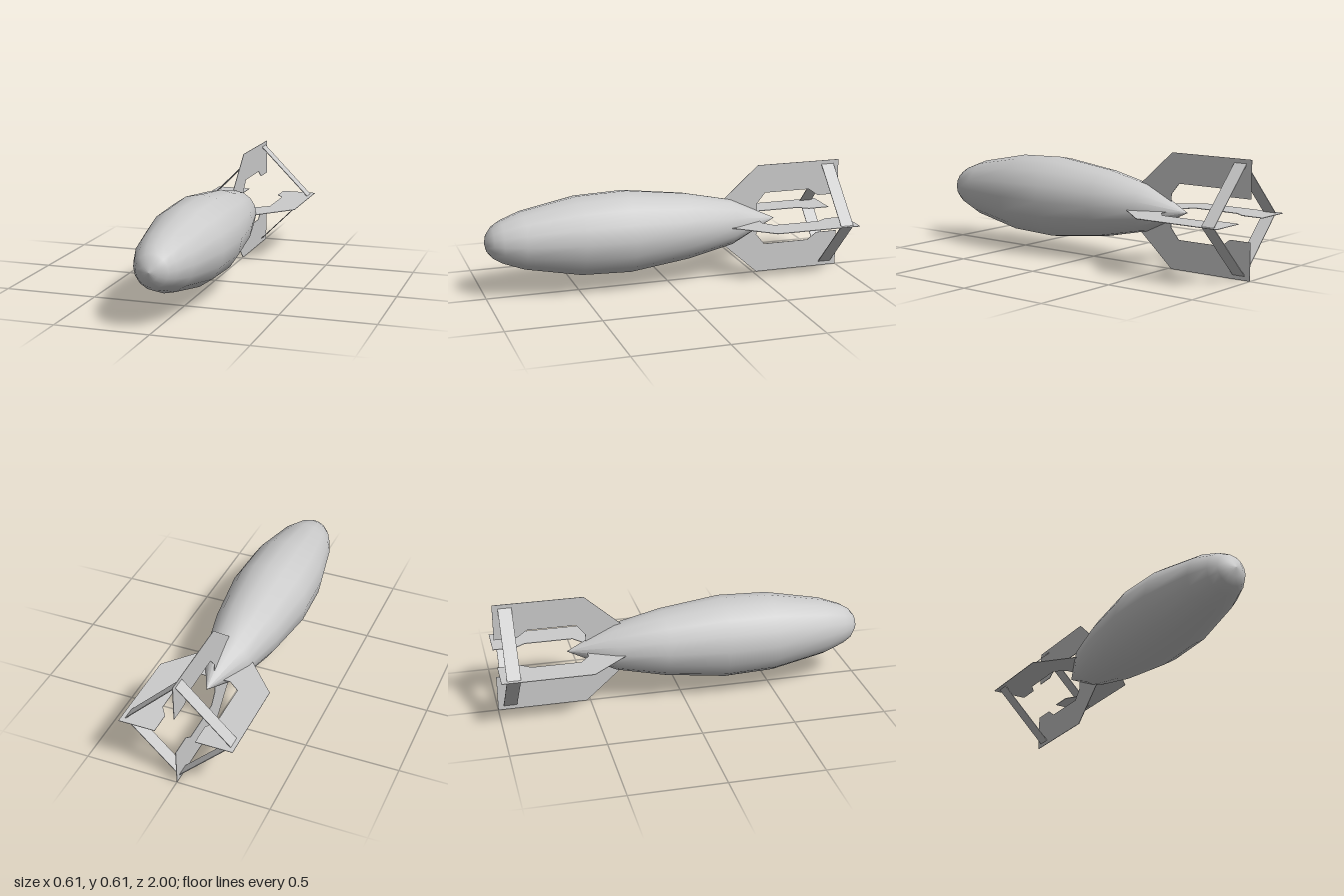
import * as THREE from 'three';

const AXIS_Y = 0.305; // height of the long axis
const grey = new THREE.MeshStandardMaterial({ color: 0xcccccc });

// Radius and z, from tail tip to nose
const BODY_PROFILE = [
  [0, -0.62], [0.125, -0.36], [0.181, -0.1], [0.222, 0.23], [0.213, 0.5],
  [0.155, 0.8], [0.114, 0.91], [0.085, 0.958], [0.046, 0.988], [0, 1],
];

// Radius and z of one fin, with its root sunk into the body
const FIN_OUTLINE = [
  [0.03, -0.32], [0.128, -0.32], [0.305, -0.52], [0.305, -1], [0.108, -1],
  [0.108, -0.88], [0.147, -0.825], [0.147, -0.565], [0.088, -0.517], [0.03, -0.517],
];

const toVectors = (pts) => pts.map(([a, b]) => new THREE.Vector2(a, b));

function addMesh(parent, name, geometry) {
  const mesh = new THREE.Mesh(geometry, grey);
  mesh.name = name;
  parent.add(mesh);
  return mesh;
}

export function createModel() {
  const model = new THREE.Group();
  model.name = 'finnedBomb';

  const assembly = new THREE.Group();
  assembly.name = 'axisAssembly';
  assembly.position.y = AXIS_Y;
  model.add(assembly);

  // Sixteen-sided teardrop body
  const body = new THREE.LatheGeometry(toVectors(BODY_PROFILE), 16);
  body.rotateX(Math.PI / 2);
  addMesh(assembly, 'body', body);

  // Thin plate fin, centred on its own thickness
  const thickness = 0.003;
  const fin = new THREE.ExtrudeGeometry(new THREE.Shape(toVectors(FIN_OUTLINE)), {
    depth: thickness, bevelEnabled: false,
  });
  fin.translate(0, 0, -thickness / 2);
  fin.rotateX(Math.PI / 2);

  // Flat strap that joins two neighbouring fins
  const reach = 0.285;
  const strap = new THREE.BoxGeometry(0.004, reach * Math.SQRT2, 0.072);
  strap.translate(reach / Math.SQRT2 - 0.002, 0, -0.934);

  for (let i = 0; i < 4; i++) {
    const angle = (i * Math.PI) / 2;
    addMesh(assembly, 'tailFin', fin).rotation.z = angle;
    addMesh(assembly, 'finStrap', strap).rotation.z = angle + Math.PI / 4;
  }

  return model;
}
